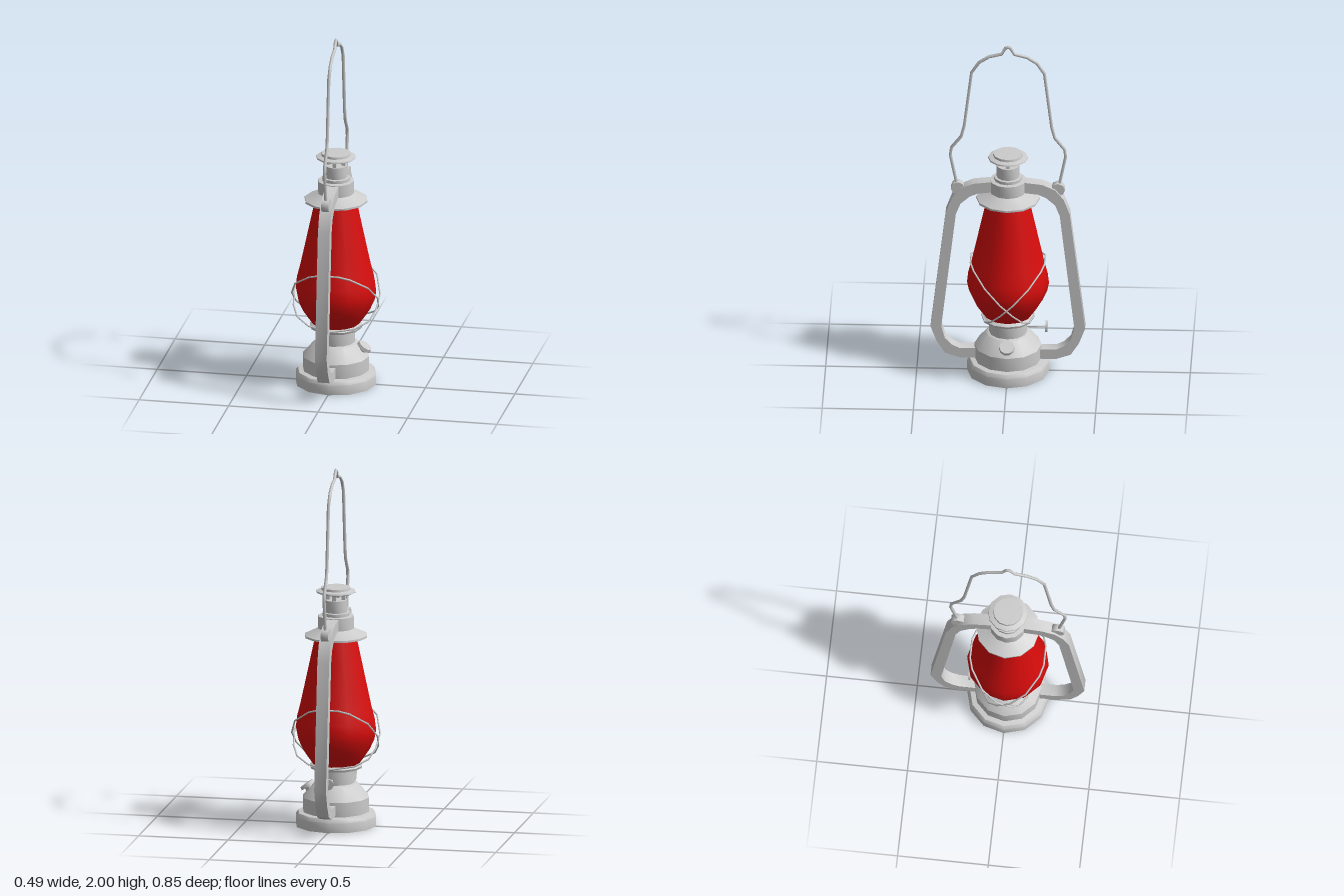
import * as THREE from 'three';
import { toCreasedNormals } from 'three/addons/utils/BufferGeometryUtils.js';

const metal = new THREE.MeshStandardMaterial({ color: 0xcccccc });
const red = new THREE.MeshStandardMaterial({ color: 0xd80c0c });

export function createModel() {
  const lantern = new THREE.Group();
  lantern.name = 'lantern';

  const add = (name, geometry, material = metal, crease = 0.6) => {
    const mesh = new THREE.Mesh(crease ? toCreasedNormals(geometry, crease) : geometry, material);
    mesh.name = name;
    lantern.add(mesh);
    return mesh;
  };
  // Turned part: [radius, height] pairs from bottom to top
  const lathe = (name, profile, material, crease) =>
    add(name, new THREE.LatheGeometry(profile.map(([r, y]) => new THREE.Vector2(r, y)), 12), material, crease);
  // Wire through every given point
  const wire = (name, points, radius, closed = false) => {
    const curve = new THREE.CatmullRomCurve3(points.map(p => new THREE.Vector3(...p)), closed, 'catmullrom', 0.5);
    curve.getPointAt = t => curve.getPoint(t);
    curve.getTangentAt = t => curve.getTangent(t);
    return add(name, new THREE.TubeGeometry(curve, closed ? points.length : points.length - 1, radius, 6, closed), metal, 0);
  };

  // Fuel tank, neck and glass seat
  lathe('tank', [[0, 0], [0.225, 0], [0.225, 0.055], [0.212, 0.075], [0.185, 0.08], [0.185, 0.16],
    [0.12, 0.235], [0.105, 0.24], [0.105, 0.32], [0.142, 0.322], [0.147, 0.335], [0.13, 0.347], [0, 0.347]]);

  // Glass globe
  lathe('globe', [[0.128, 0.345], [0.16, 0.39], [0.19, 0.435], [0.215, 0.49], [0.225, 0.54], [0.218, 0.6],
    [0.2, 0.67], [0.178, 0.77], [0.115, 1.06]], red, 0);

  // Hood and chimney
  lathe('hood', [[0, 1.057], [0.175, 1.057], [0.175, 1.068], [0.12, 1.093], [0.1, 1.105], [0.1, 1.175],
    [0.077, 1.178], [0.077, 1.195], [0.063, 1.197], [0.063, 1.265], [0, 1.265]]);
  for (let i = 0; i < 4; i++) {
    const a = i * Math.PI / 2;
    const post = add('chimneyPost', new THREE.BoxGeometry(0.02, 0.05, 0.02));
    post.position.set(0.043 * Math.cos(a), 1.285, 0.043 * Math.sin(a));
  }
  lathe('chimneyCap', [[0, 1.303], [0.1, 1.303], [0.11, 1.308], [0.108, 1.315], [0.082, 1.322],
    [0.08, 1.335], [0, 1.337]]);

  // Side frame arms: outline in the z-y plane, extruded across x
  const outline = [
    [0.16, 0.087], [0.265, 0.087], [0.345, 0.115], [0.39, 0.185], [0.424, 0.275], [0.34, 0.98],
    [0.307, 1.07], [0.26, 1.128], [0.19, 1.16], [0.08, 1.173], [0.08, 1.11], [0.165, 1.1],
    [0.21, 1.08], [0.26, 1.035], [0.285, 0.97], [0.365, 0.275], [0.345, 0.205], [0.307, 0.165],
    [0.265, 0.145], [0.16, 0.145]];
  for (const s of [1, -1]) {
    const shape = new THREE.Shape(outline.map(([z, y]) => new THREE.Vector2(-z, y)));
    const arm = new THREE.ExtrudeGeometry(shape, { depth: 0.066, bevelEnabled: false });
    arm.translate(0, 0, -0.033);
    arm.rotateY(s * Math.PI / 2);
    add('frameArm', arm);

    // Pivot that holds the end of the bail
    const pivot = add('bailPivot', new THREE.CylinderGeometry(0.038, 0.038, 0.042, 8).rotateZ(Math.PI / 2), metal, 0.9);
    pivot.position.set(0, 1.124, s * 0.275);
  }

  // Bail handle with a peaked hook rest at the top
  const half = [[0.278, 1.13], [0.287, 1.175], [0.316, 1.32], [0.311, 1.365], [0.257, 1.435], [0.24, 1.5],
    [0.2, 1.83], [0.16, 1.893], [0.105, 1.93], [0.035, 1.948], [0.014, 1.985]];
  wire('bail', [
    ...half.map(([z, y]) => [0, y, z]), [0, 1.991, 0],
    ...half.slice().reverse().map(([z, y]) => [0, y, -z])], 0.009);

  // Two crossed guard wires, each a tilted ring around the globe
  const side = [[0.055, 0.203], [0.115, 0.185], [0.205, 0.12], [0.24, 0.035], [0.23, -0.035], [0.2, -0.085], [0.13, -0.122]];
  for (const s of [1, -1]) {
    const ring = [...side, [0, -0.142], ...side.slice().reverse().map(([x, z]) => [-x, z])];
    wire('guardWire', ring.map(([x, z]) => [x, 0.48 + z, s * z]), 0.005, true);
  }

  // Filler neck and cap on the tank shoulder
  const filler = new THREE.Group();
  filler.name = 'filler';
  const neck = add('fillerNeck', new THREE.CylinderGeometry(0.024, 0.024, 0.06, 10), metal, 0.8);
  neck.position.y = -0.03;
  const cap = add('fillerCap', new THREE.CylinderGeometry(0.041, 0.044, 0.018, 10), metal, 0.8);
  filler.add(neck, cap);
  filler.position.set(0.16, 0.217, 0);
  filler.rotation.z = -0.62;
  lantern.add(filler);

  // Wick adjuster at the back
  const rod = add('wickRod', new THREE.CylinderGeometry(0.005, 0.005, 0.12, 6).rotateX(Math.PI / 2), metal, 1.1);
  rod.position.set(0, 0.27, -0.15);
  const wheel = add('wickWheel', new THREE.CylinderGeometry(0.032, 0.032, 0.012, 10).rotateX(Math.PI / 2), metal, 0.8);
  wheel.position.set(0, 0.27, -0.211);

  return lantern;
}
